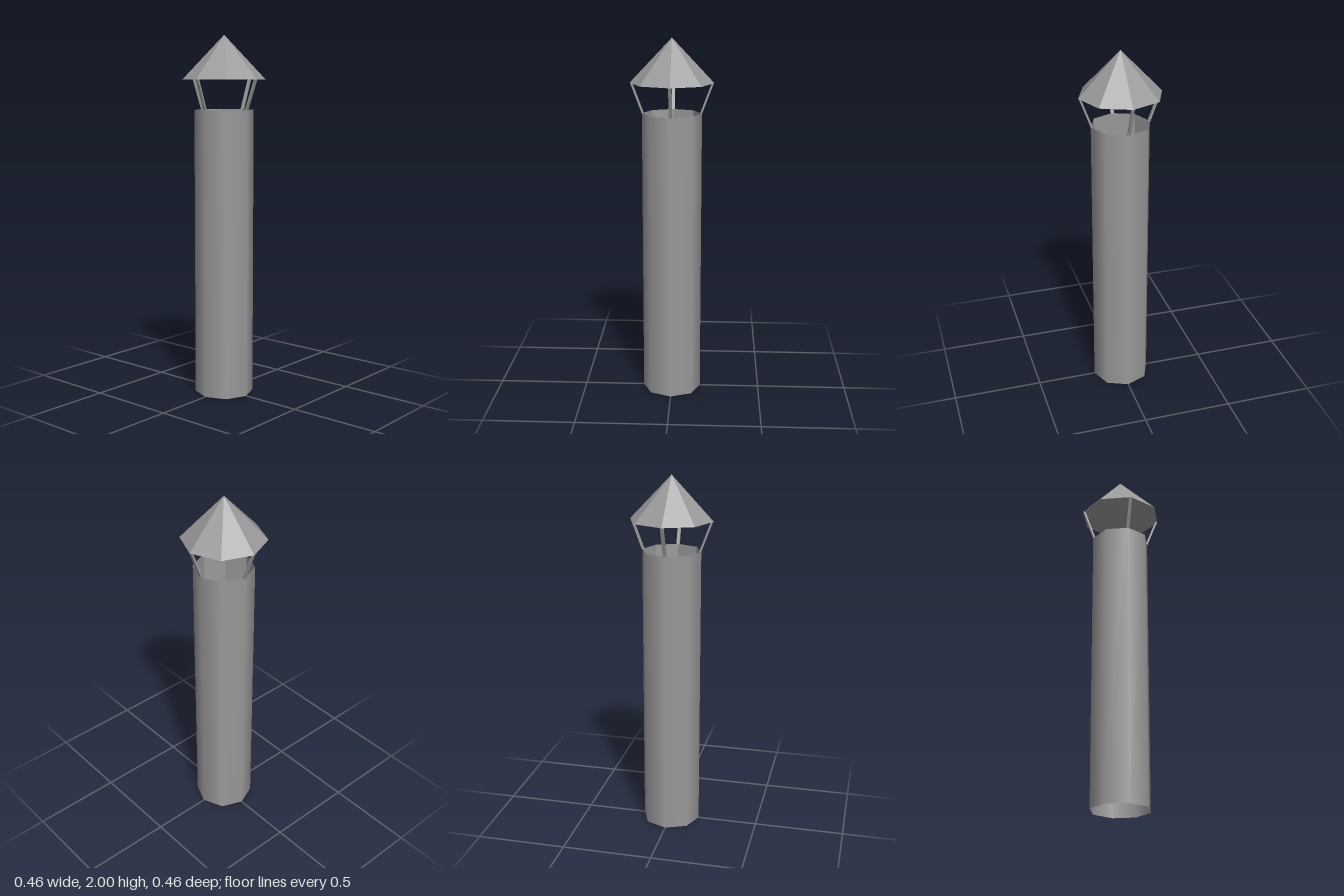
import * as THREE from 'three';

const SIDES = 8;
const PIPE_R = 0.163, PIPE_H = 1.595;
const LINER_H = 0.2;
const CAP_R = 0.228, CAP_BASE = 1.76, CAP_TOP = 2;

export function createModel() {
  const model = new THREE.Group();
  model.name = 'chimneyPipe';

  const smooth = new THREE.MeshStandardMaterial({ color: 0x9a9a9a, side: THREE.DoubleSide });
  const flat = new THREE.MeshStandardMaterial({ color: 0x9a9a9a, side: THREE.DoubleSide, flatShading: true });

  const add = (name, geometry, material, y) => {
    const mesh = new THREE.Mesh(geometry, material);
    mesh.name = name;
    mesh.position.y = y;
    model.add(mesh);
    return mesh;
  };

  // Open octagonal pipe, softly shaded
  add('pipe', new THREE.CylinderGeometry(PIPE_R, PIPE_R, PIPE_H, SIDES, 1, true), smooth, PIPE_H / 2);

  // Faceted liner inside the mouth of the pipe
  const linerR = PIPE_R - 0.002;
  add('mouthLiner', new THREE.CylinderGeometry(linerR, linerR, LINER_H, SIDES, 1, true), flat, PIPE_H - LINER_H / 2);

  // Faceted rain cap, hollow underneath
  const capH = CAP_TOP - CAP_BASE;
  add('rainCap', new THREE.ConeGeometry(CAP_R, capH, SIDES, 1, true), flat, CAP_BASE + capH / 2);

  // Four slim struts leaning outward from the pipe rim to the cap rim
  const thick = 0.011, width = 0.018;
  const strut = new THREE.BoxGeometry(thick, CAP_BASE - PIPE_H, width);
  const pos = strut.attributes.position;
  for (let i = 0; i < pos.count; i++) {
    const outer = pos.getY(i) > 0 ? CAP_R - 0.003 : PIPE_R;
    pos.setX(i, pos.getX(i) + outer - thick / 2);
  }
  for (let i = 0; i < 4; i++) {
    add('capStrut', strut, flat, (PIPE_H + CAP_BASE) / 2).rotation.y = i * Math.PI / 2;
  }

  return model;
}
